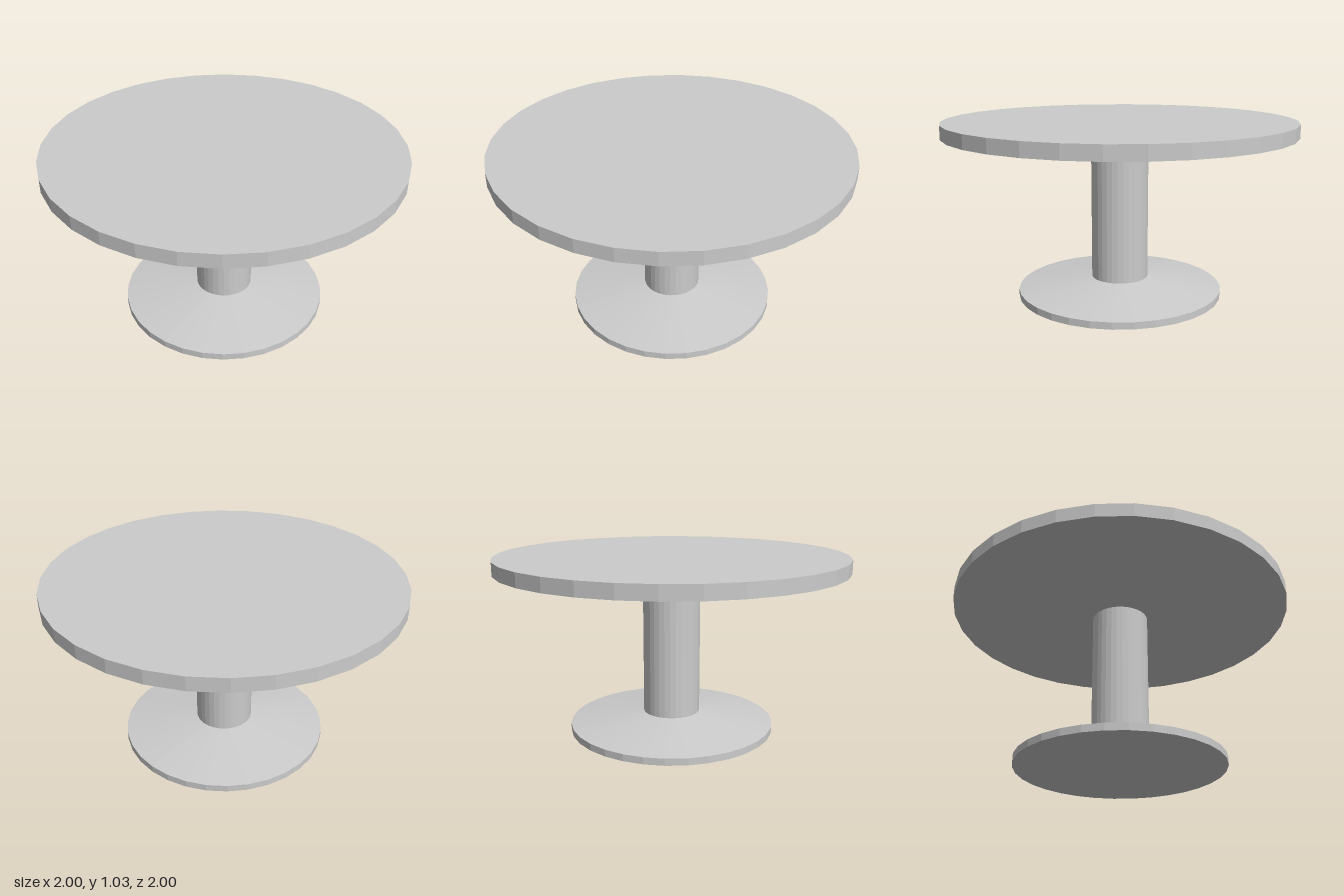
import * as THREE from 'three';

const SIDES = 32;

export function createModel() {
  const group = new THREE.Group();
  const grey = new THREE.MeshStandardMaterial({ color: 0xcccccc, flatShading: true });
  grey.name = 'light grey';

  // Round section between two heights, with optional end caps
  function addRound(name, rTop, rBottom, y0, y1, open = false) {
    const geometry = new THREE.CylinderGeometry(rTop, rBottom, y1 - y0, SIDES, 1, open);
    const mesh = new THREE.Mesh(geometry, grey);
    mesh.name = name;
    mesh.position.y = (y0 + y1) / 2;
    group.add(mesh);
  }

  // Foot: flat rim with a shallow cone above, closed underneath
  const foot = new THREE.Mesh(
    new THREE.LatheGeometry(
      [[0, 0], [0.597, 0], [0.597, 0.04], [0.165, 0.1]].map(([x, y]) => new THREE.Vector2(x, y)),
      SIDES
    ),
    grey
  );
  foot.name = 'foot';
  group.add(foot);

  // Column and tabletop
  addRound('column', 0.165, 0.165, 0.1, 0.95, true);
  addRound('tabletop', 1, 1, 0.95, 1.027);

  return group;
}
